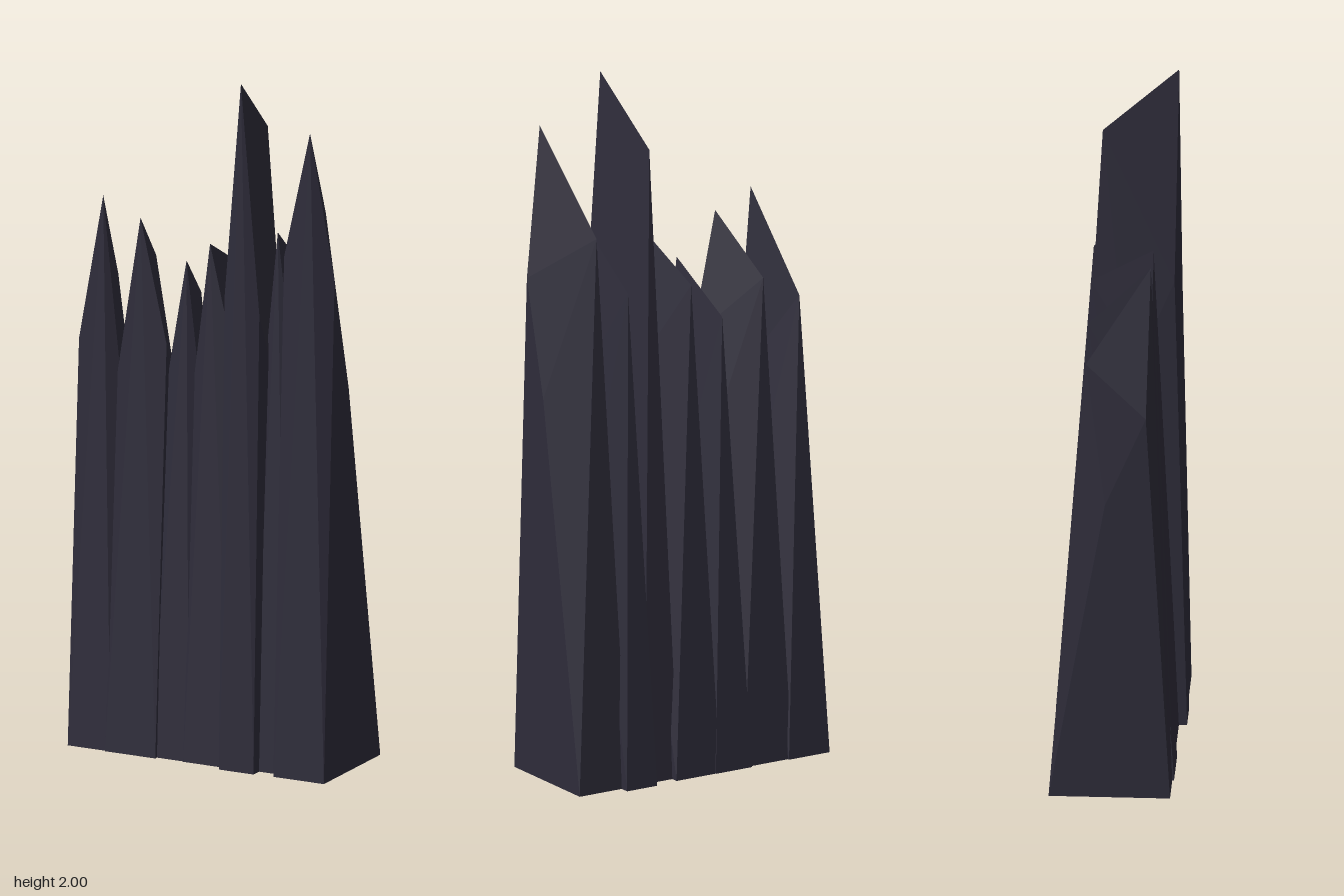
import * as THREE from 'three';

// Each shard: x range, front/back z at the base,
// front apex and back apex [x, y, z], left/right shoulder heights, front and back shoulder z
const SHARDS = [
  { x: [-0.41, -0.275], z: [0.163, -0.178], front: [-0.328, 1.60, 0.105], back: [-0.375, 1.32, -0.075], h: [1.17, 1.05], s: [0.095, -0.02] },
  { x: [-0.29, -0.13], z: [0.168, -0.172], front: [-0.21, 1.55, 0.105], back: [-0.255, 1.39, -0.075], h: [1.06, 1.19], s: [0.10, 0.0] },
  { x: [-0.15, -0.03], z: [0.158, -0.181], front: [-0.072, 1.44, 0.09], back: [-0.115, 1.30, -0.08], h: [1.0, 1.06], s: [0.085, 0.0] },
  { x: [-0.045, 0.10], z: [0.162, -0.179], front: [0.005, 1.50, 0.095], back: [-0.012, 1.41, -0.08], h: [1.12, 1.09], s: [0.092, 0.01] },
  { x: [0.08, 0.19], z: [0.185, -0.157], front: [0.137, 2.0, 0.16], back: [0.11, 1.82, -0.053], h: [1.37, 1.33], s: [0.15, 0.02] },
  { x: [0.17, 0.27], z: [0.152, -0.188], front: [0.217, 1.56, 0.09], back: [0.20, 1.42, -0.083], h: [1.12, 1.1], s: [0.085, -0.01] },
  { x: [0.25, 0.41], z: [0.18, -0.16], front: [0.348, 1.88, 0.145], back: [0.29, 1.59, -0.06], h: [1.5, 1.45], s: [0.115, 0.03] },
];

// Corners 0-4 run round the front (base, shoulder, apex, shoulder); 5-9 match at the back
const FACES = [
  0, 1, 3, 1, 2, 3, 0, 3, 4, // front
  6, 5, 8, 7, 6, 8, 5, 9, 8, // back
  0, 5, 6, 0, 6, 1,          // base
  0, 4, 9, 0, 9, 5,          // right side
  1, 6, 7, 1, 7, 2,          // left side
  4, 3, 8, 4, 8, 9,          // roof slopes
  2, 7, 8, 2, 8, 3,
];
const BACK_DROP = 0.77; // back shoulders sit lower than the front ones

function shardGeometry({ x, z, front, back, h, s }) {
  const ring = (i, apex, k) => [
    x[0], 0, z[i], x[1], 0, z[i],
    x[1], h[1] * k, s[i], ...apex, x[0], h[0] * k, s[i],
  ];
  const geometry = new THREE.BufferGeometry();
  const points = [...ring(0, front, 1), ...ring(1, back, BACK_DROP)];
  geometry.setAttribute('position', new THREE.Float32BufferAttribute(points, 3));
  geometry.setIndex(FACES);
  const flat = geometry.toNonIndexed();
  flat.computeVertexNormals();
  return flat;
}

export function createModel() {
  const group = new THREE.Group();
  group.name = 'rockShards';
  const stone = new THREE.MeshStandardMaterial({ color: 0x2e2c3a });
  stone.name = 'darkStone';
  stone.flatShading = true;

  SHARDS.forEach((shard, i) => {
    const mesh = new THREE.Mesh(shardGeometry(shard), stone);
    mesh.name = `shard${i + 1}`;
    group.add(mesh);
  });
  return group;
}
